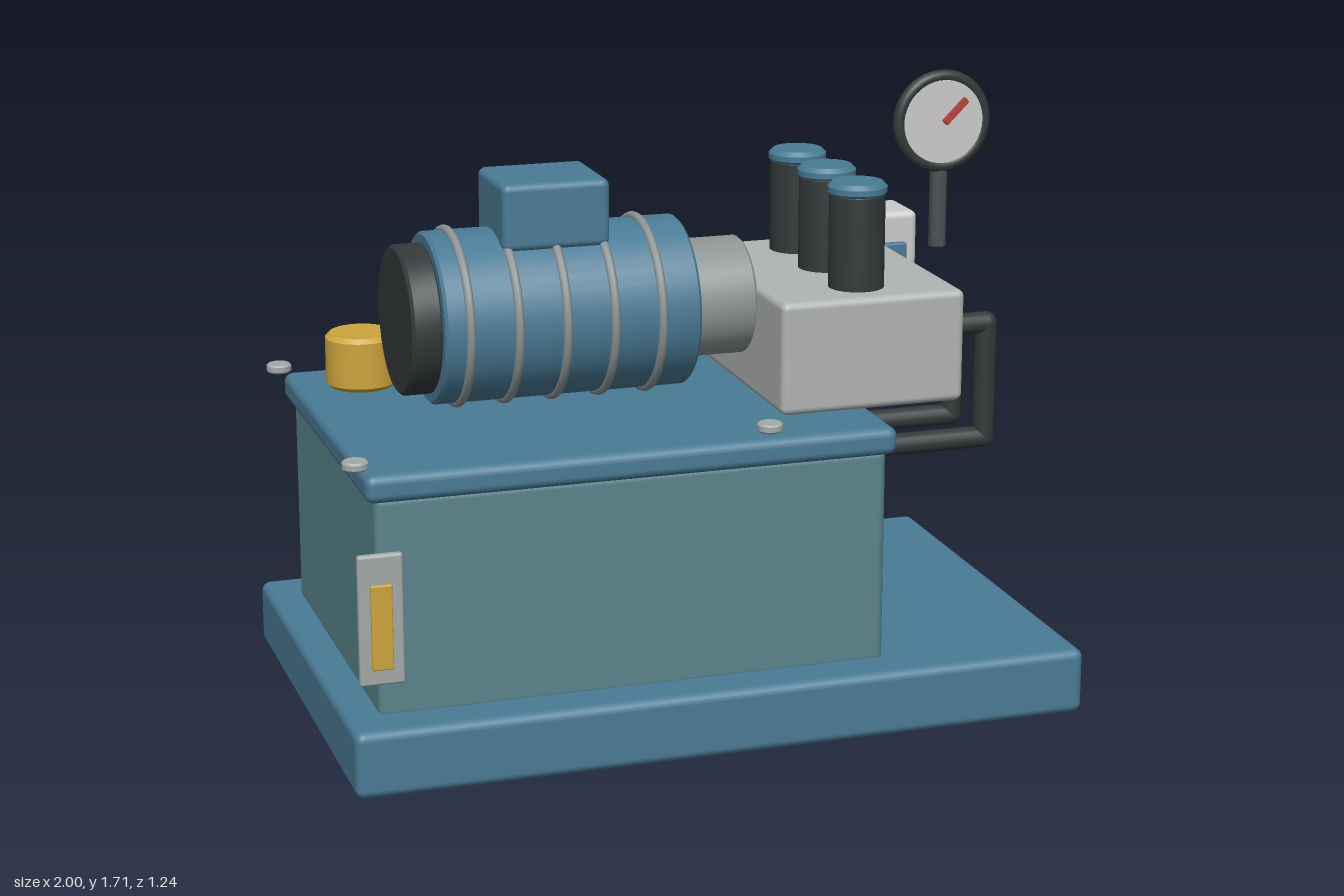
import * as THREE from 'three';
import { RoundedBoxGeometry } from 'three/addons/geometries/RoundedBoxGeometry.js';
import { toCreasedNormals } from 'three/addons/utils/BufferGeometryUtils.js';

const mat = (color) => new THREE.MeshStandardMaterial({ color });
const blue = mat(0x4a7b96), tankBlue = mat(0x5a858c), dark = mat(0x33393a), steel = mat(0x8e9494);
const blockGrey = mat(0xb0b4b3), plateGrey = mat(0xa3aaa8), white = mat(0xd3d7d4);
const yellow = mat(0xcda53c), red = mat(0xb8443a);

export function createModel() {
  const model = new THREE.Group();

  const add = (name, geometry, material, x = 0, y = 0, z = 0) => {
    const mesh = new THREE.Mesh(geometry, material);
    mesh.name = name;
    mesh.position.set(x, y, z);
    model.add(mesh);
    return mesh;
  };

  // Rounded box given by its extents on each axis
  const box = (name, material, [x0, x1], [y0, y1], [z0, z1], r = 0.02) =>
    add(name, new RoundedBoxGeometry(x1 - x0, y1 - y0, z1 - z0, 3, r), material,
      (x0 + x1) / 2, (y0 + y1) / 2, (z0 + z1) / 2);

  // Solid round part along y with bevelled rims
  const drum = (radius, height, bevel = 0.008) => {
    const h = height / 2;
    const profile = [[0, -h], [radius - bevel, -h], [radius, -h + bevel],
      [radius, h - bevel], [radius - bevel, h], [0, h]].map(([x, y]) => new THREE.Vector2(x, y));
    return toCreasedNormals(new THREE.LatheGeometry(profile, 40), 0.6);
  };
  const drumX = (name, material, radius, x0, x1, y, z) =>
    add(name, drum(radius, x1 - x0).rotateZ(Math.PI / 2), material, (x0 + x1) / 2, y, z);
  const drumY = (name, material, radius, y0, y1, x, z, bevel) =>
    add(name, drum(radius, y1 - y0, bevel), material, x, (y0 + y1) / 2, z);
  const drumZ = (name, material, radius, z0, z1, x, y, bevel) =>
    add(name, drum(radius, z1 - z0, bevel).rotateX(Math.PI / 2), material, x, y, (z0 + z1) / 2);

  // Base, oil tank and lid
  box('base', blue, [-1, 1], [0, 0.18], [-0.62, 0.62], 0.025);
  box('tank', tankBlue, [-0.91, 0.467], [0.16, 0.76], [-0.5, 0.5], 0.025);
  box('tankLid', blue, [-0.935, 0.49], [0.745, 0.82], [-0.52, 0.52], 0.025);
  for (const x of [-0.953, 0.145])
    for (const z of [-0.48, 0.48]) drumY('lidBolt', plateGrey, 0.034, 0.832, 0.856, x, z, 0.005);
  drumY('fillerCap', yellow, 0.097, 0.82, 0.97, -0.755, -0.325, 0.012);

  // Oil level gauge on the front of the tank
  box('levelPlate', plateGrey, [-0.963, -0.845], [0.267, 0.615], [0.498, 0.521], 0.008);
  box('levelWindow', yellow, [-0.932, -0.876], [0.31, 0.537], [0.51, 0.529], 0.004);

  // Electric motor with cooling ribs, lying along x
  const axisY = 1.08;
  drumX('motorBody', blue, 0.23, -0.652, 0.045, axisY, 0);
  drumX('fanCover', dark, 0.2, -0.732, -0.648, axisY, 0);
  drumX('coupling', steel, 0.16, 0.04, 0.225, axisY, 0);
  for (let i = 0; i < 5; i++) {
    const rib = new THREE.TorusGeometry(0.231, 0.012, 10, 48).rotateY(Math.PI / 2);
    add('motorRib', rib, steel, -0.585 + i * 0.13, axisY, 0);
  }
  box('terminalBox', blue, [-0.47, -0.178], [1.27, 1.45], [-0.133, 0.133]);

  // Valve block with three valves and their return pipes
  box('valveBlock', blockGrey, [0.22, 0.736], [0.83, 1.136], [-0.37, 0.365]);
  const pipeR = 0.03;
  const pipePath = [[0.7, 1.005], [0.855, 1.005], [0.855, 0.682], [0.55, 0.682]];
  for (const z of [-0.23, 0, 0.23]) {
    drumY('valve', dark, 0.075, 1.12, 1.395, 0.475, z);
    drumY('valveCap', blue, 0.08, 1.383, 1.422, 0.475, z, 0.012);
    for (let i = 0; i < 3; i++) {
      const [ax, ay] = pipePath[i], [bx, by] = pipePath[i + 1];
      const length = Math.hypot(bx - ax, by - ay);
      const run = new THREE.CylinderGeometry(pipeR, pipeR, length, 18);
      add('pipeRun', run, dark, (ax + bx) / 2, (ay + by) / 2, z)
        .rotation.z = Math.atan2(by - ay, bx - ax) - Math.PI / 2;
      if (i < 2) add('pipeElbow', new THREE.SphereGeometry(pipeR, 18, 12), dark, bx, by, z);
    }
  }

  // Pressure gauge
  const gx = 0.695, gy = 1.577, gz = 0.255;
  drumY('gaugeStem', mat(0x4b5252), 0.023, 1.235, 1.46, gx, gz, 0.003);
  drumZ('gaugeCase', dark, 0.125, gz - 0.027, gz + 0.02, gx, gy);
  add('gaugeRim', new THREE.TorusGeometry(0.12, 0.017, 12, 48), dark, gx, gy, gz + 0.012);
  drumZ('gaugeFace', white, 0.113, gz, gz + 0.027, gx, gy, 0.002);
  add('gaugeNeedle', new THREE.BoxGeometry(0.085, 0.016, 0.014), red, gx + 0.031, gy + 0.028, gz + 0.034)
    .rotation.z = 0.78;

  // Control cabinet with button panel
  box('cabinet', white, [0.575, 0.905], [0.605, 1.18], [-0.56, -0.385]);
  box('buttonPanel', blue, [0.612, 0.866], [0.795, 1.093], [-0.39, -0.366], 0.006);
  [red, yellow, dark].forEach((material, i) =>
    drumZ('button', material, 0.034, -0.37, -0.332, 0.748, 1.046 - i * 0.101, 0.005));

  return model;
}
